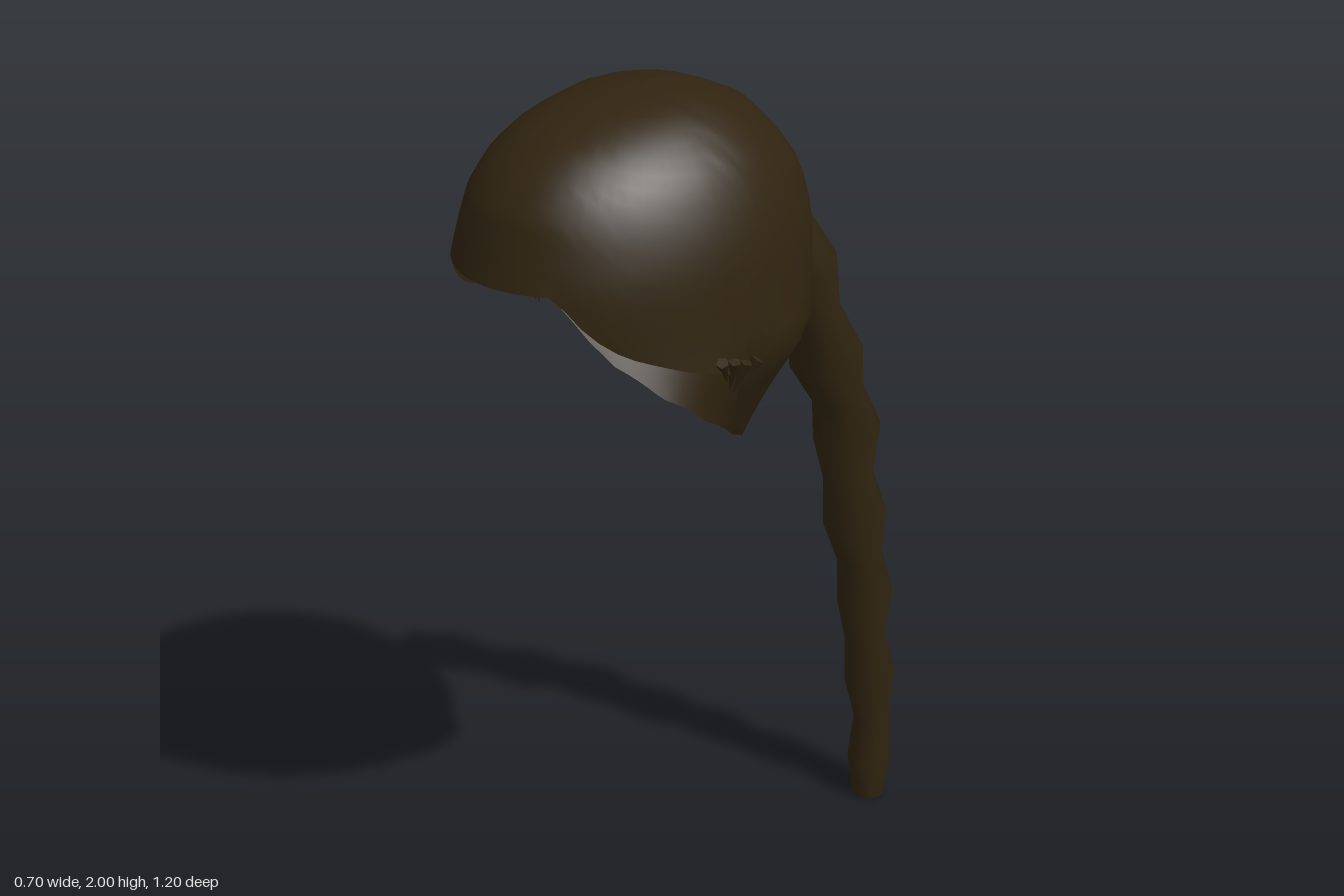
import * as THREE from 'three';

const hair = new THREE.MeshStandardMaterial({ color: 0x302410, side: THREE.DoubleSide });
hair.name = 'dark brown hair';

// Skin a stack of closed rings (listed top to bottom, running from +z towards +x)
function loft(rings) {
  const n = rings[0].length, pos = [], idx = [];
  rings.forEach(r => r.forEach(p => pos.push(...p)));
  for (let i = 0; i < rings.length - 1; i++) {
    for (let j = 0; j < n; j++) {
      const a = i * n + j, b = i * n + (j + 1) % n;
      idx.push(a, a + n, b + n, a, b + n, b);
    }
  }
  const g = new THREE.BufferGeometry();
  g.setAttribute('position', new THREE.Float32BufferAttribute(pos, 3));
  g.setIndex(idx);
  g.computeVertexNormals();
  return g;
}

// Level slices of the head of hair: height, half width, front z, back z
const slices = [
  [2, 0, 0.14, 0.14], [1.992, 0.08, 0.24, 0.06], [1.97, 0.15, 0.35, 0], [1.93, 0.205, 0.45, -0.08],
  [1.88, 0.25, 0.515, -0.13], [1.82, 0.28, 0.56, -0.18], [1.75, 0.303, 0.58, -0.21],
  [1.68, 0.315, 0.6, -0.223], [1.6, 0.32, 0.6, -0.222], [1.54, 0.325, 0.59, -0.217],
  [1.47, 0.333, 0.585, -0.21], [1.4, 0.285, 0.57, -0.19], [1.34, 0.25, 0.5, -0.15],
  [1.27, 0.215, 0.5, -0.11], [1.19, 0.175, 0.5, -0.08], [1.15, 0.17, 0.5, -0.06],
];

// Hairline: degrees away from the front, height
const hairline = [
  [0, 1.68], [30, 1.68], [36, 1.65], [42, 1.6], [52, 1.55], [71, 1.5], [86, 1.47], [92, 1.41],
  [98, 1.34], [109, 1.27], [133, 1.19], [165, 1.15], [180, 1.15],
];

function hairlineHeight(deg) {
  let i = 0;
  while (i < hairline.length - 2 && hairline[i + 1][0] < deg) i++;
  const [a0, y0] = hairline[i], [a1, y1] = hairline[i + 1];
  return THREE.MathUtils.lerp(y0, y1, (deg - a0) / (a1 - a0));
}

// Fractional slice number at a given height
function sliceAt(y) {
  let i = 0;
  while (i < slices.length - 2 && slices[i + 1][0] > y) i++;
  return i + (slices[i][0] - y) / (slices[i][0] - slices[i + 1][0]);
}

function scalpPoint(u, angle) {
  const i = Math.min(Math.floor(u), slices.length - 2);
  const [y, w, front, back] = slices[i].map((v, k) => THREE.MathUtils.lerp(v, slices[i + 1][k], u - i));
  const mid = THREE.MathUtils.lerp(0.14, 0.17, Math.min(u / 3, 1));
  const c = Math.cos(angle);
  return [w * Math.sin(angle), y, mid + c * (c > 0 ? front - mid : mid - back)];
}

function scalpGeometry(rows = 20, cols = 72) {
  const rings = [];
  for (let i = 0; i <= rows; i++) {
    const ring = [];
    for (let j = 0; j < cols; j++) {
      const deg = j * 360 / cols;
      const end = sliceAt(hairlineHeight(Math.min(deg, 360 - deg)));
      ring.push(scalpPoint(end * i / rows, THREE.MathUtils.degToRad(deg)));
    }
    rings.push(ring);
  }
  return loft(rings);
}

// Braid sections: front z and y, back z and y, half width
const braidSections = [
  [-0.19, 1.57, -0.3, 1.6, 0.06], [-0.2, 1.46, -0.365, 1.5, 0.085], [-0.27, 1.33, -0.385, 1.37, 0.065],
  [-0.285, 1.21, -0.455, 1.25, 0.085], [-0.35, 1.11, -0.465, 1.15, 0.062], [-0.36, 1.01, -0.52, 1.04, 0.077],
  [-0.39, 0.9, -0.505, 0.92, 0.06], [-0.395, 0.78, -0.55, 0.8, 0.072], [-0.44, 0.67, -0.545, 0.69, 0.055],
  [-0.445, 0.56, -0.58, 0.58, 0.066], [-0.47, 0.45, -0.565, 0.46, 0.05], [-0.475, 0.33, -0.6, 0.35, 0.058],
  [-0.505, 0.22, -0.595, 0.22, 0.043], [-0.49, 0.11, -0.6, 0.11, 0.052], [-0.505, 0, -0.58, 0, 0.038],
];

function braidGeometry(sides = 12) {
  const ring = ([fz, fy, bz, by, w], size = 1) => Array.from({ length: sides }, (_, j) => {
    const a = j / sides * Math.PI * 2, c = size * Math.cos(a) / 2;
    return [0.008 + size * w * Math.sin(a), (fy + by) / 2 + c * (fy - by), (fz + bz) / 2 + c * (fz - bz)];
  });
  const first = braidSections[0], last = braidSections[braidSections.length - 1];
  // Repeated end rings keep the flat ends crisp
  return loft([ring(first, 0), ring(first), ...braidSections.map(s => ring(s)), ring(last), ring(last, 0)]);
}

export function createModel() {
  const model = new THREE.Group();
  model.name = 'braidedHair';
  const add = (name, geometry, parent = model) => {
    const mesh = new THREE.Mesh(geometry, hair);
    mesh.name = name;
    parent.add(mesh);
    return mesh;
  };

  add('scalpHair', scalpGeometry());
  add('braid', braidGeometry());

  // Ragged wisps in front of each ear: height, z, lean, length
  const wisps = [[1.48, 0.225, 0.5, 0.07], [1.465, 0.205, 0.1, 0.08], [1.455, 0.185, -0.2, 0.08], [1.46, 0.16, -0.5, 0.07]];
  for (const side of [1, -1]) {
    const group = new THREE.Group();
    group.name = side > 0 ? 'leftEarWisps' : 'rightEarWisps';
    for (const [y, z, lean, length] of wisps) {
      const wisp = add('wisp', new THREE.ConeGeometry(0.014, length, 5), group);
      wisp.position.set(side * 0.325, y, z);
      wisp.rotation.set(Math.PI + lean, 0, side * 0.3);
    }
    model.add(group);
  }
  return model;
}
